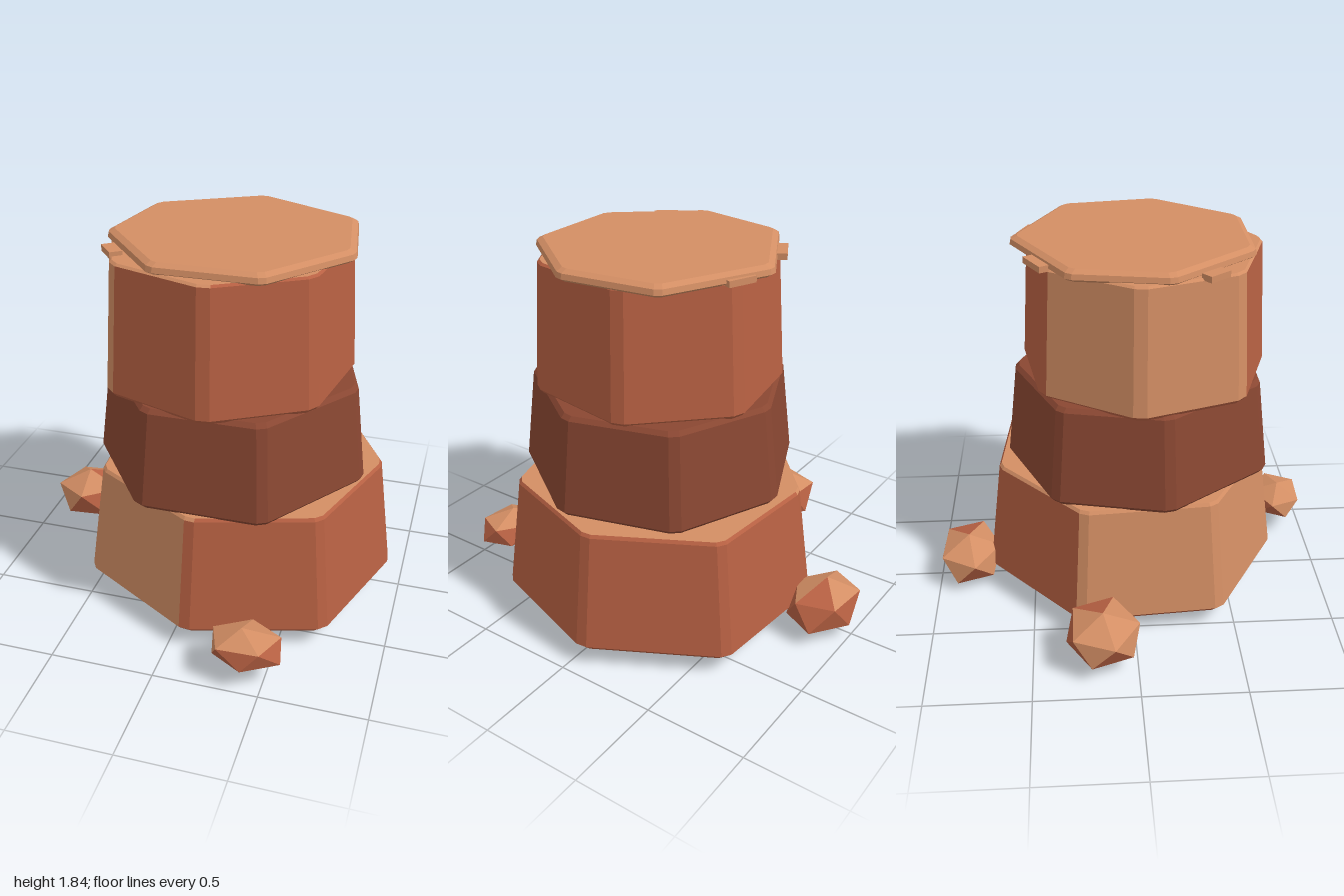
import * as THREE from 'three';

const flat = (name, color) => {
  const m = new THREE.MeshStandardMaterial({ color });
  m.name = name;
  return m;
};

export function createModel() {
  const model = new THREE.Group();
  model.name = 'mesaRock';
  const sand = flat('sand', 0xd38e64);
  const clay = flat('terracotta', 0xb86143);
  const dark = flat('darkClay', 0x8a4732);

  // Weathered side of every stone: triangles facing up or to -x take the second material
  const weather = new THREE.Vector3(-0.9, 0.9, 0.2);
  function addStone(name, tris, body, worn) {
    const lists = [[], []];
    const n = new THREE.Vector3();
    for (const t of tris) {
      new THREE.Triangle(...t).getNormal(n);
      lists[n.dot(weather) > 0.62 ? 1 : 0].push(...t);
    }
    const geo = new THREE.BufferGeometry().setFromPoints([...lists[0], ...lists[1]]);
    geo.addGroup(0, lists[0].length, 0);
    geo.addGroup(lists[0].length, lists[1].length, 1);
    geo.computeVertexNormals();
    const mesh = new THREE.Mesh(geo, body === worn ? body : [body, worn]);
    mesh.name = name;
    model.add(mesh);
  }

  // Cut each corner of an outline to give narrow chamfers
  function chamfer(outline, cut) {
    const pts = [];
    outline.forEach(([x, z], i) => {
      const p = new THREE.Vector2(x, z);
      for (const j of [i + outline.length - 1, i + 1]) {
        const q = new THREE.Vector2(...outline[j % outline.length]);
        pts.push(p.clone().lerp(q, cut / p.distanceTo(q)));
      }
    });
    return pts;
  }

  // Stack scaled copies of an outline; each ring is [y, scale]
  function addTier(name, outline, cut, rings, body, worn) {
    const pts = chamfer(outline, cut);
    const c = new THREE.Vector2();
    outline.forEach(([x, z]) => { c.x += x / outline.length; c.y += z / outline.length; });
    const loops = rings.map(([y, s]) => pts.map(p =>
      new THREE.Vector3(c.x + (p.x - c.x) * s, y, c.y + (p.y - c.y) * s)));
    const tris = [];
    const last = loops.length - 1;
    const low = new THREE.Vector3(c.x, rings[0][0], c.y);
    const high = new THREE.Vector3(c.x, rings[last][0], c.y);
    for (let i = 0; i < pts.length; i++) {
      const j = (i + 1) % pts.length;
      for (let k = 0; k < last; k++) {
        const [a, b, d, e] = [loops[k][i], loops[k][j], loops[k + 1][i], loops[k + 1][j]];
        tris.push([a, d, b], [b, d, e]);
      }
      tris.push([low, loops[0][i], loops[0][j]], [high, loops[last][j], loops[last][i]]);
    }
    addStone(name, tris, body, worn);
  }

  // Outlines run from +x towards +z
  const base = [[0.94, -0.06], [0.72, 0.59], [0.08, 0.78], [-0.52, 0.43], [-0.57, -0.27], [-0.06, -0.73], [0.61, -0.67]];
  const middle = [[0.8, 0.15], [0.43, 0.68], [-0.17, 0.68], [-0.54, 0.17], [-0.42, -0.38], [0.13, -0.62], [0.64, -0.4]];
  const upper = [[0.6, 0.43], [0.15, 0.69], [-0.35, 0.52], [-0.52, 0.02], [-0.24, -0.43], [0.3, -0.52], [0.69, -0.12]];
  const cap = [[0.7, 0.17], [0.38, 0.58], [-0.12, 0.58], [-0.46, 0.17], [-0.38, -0.29], [0.12, -0.56], [0.63, -0.31]];

  addTier('baseTier', base, 0.03, [[0.08, 0.96], [0.11, 1], [0.67, 0.905], [0.685, 0.89]], clay, sand);
  addTier('middleTier', middle, 0.03, [[0.68, 0.965], [0.705, 1], [1.155, 0.92], [1.175, 0.89]], dark, dark);
  addTier('upperTier', upper, 0.035, [[1.165, 0.97], [1.185, 1], [1.785, 0.94], [1.795, 0.92]], clay, sand);
  addTier('capSlab', cap, 0.02, [[1.785, 0.96], [1.8, 1], [1.825, 0.99], [1.84, 0.94]], sand, sand);

  // Broken chips along the back edge of the cap
  for (const [x, z, w, turn] of [[-0.17, -0.42, 0.16, 0.5], [0.27, -0.47, 0.14, -0.4], [-0.36, 0.36, 0.12, -0.9]]) {
    const chip = new THREE.Mesh(new THREE.BoxGeometry(w, 0.03, 0.06), sand);
    chip.name = 'rimChip';
    chip.position.set(x, 1.8, z);
    chip.rotation.y = turn;
    model.add(chip);
  }

  // Loose faceted boulders fitted to [min, max] extents
  function addBoulder(name, spin, min, max) {
    const geo = new THREE.IcosahedronGeometry(1, 0);
    geo.rotateZ(Math.atan(2 / (1 + Math.sqrt(5)))).rotateY(spin).rotateZ(0.12);
    geo.computeBoundingBox();
    const { min: lo, max: hi } = geo.boundingBox;
    const p = geo.attributes.position;
    const v = [];
    for (let i = 0; i < p.count; i++) {
      const f = (axis, k) => THREE.MathUtils.mapLinear(p['get' + axis.toUpperCase()](i), lo[axis], hi[axis], min[k], max[k]);
      v.push(new THREE.Vector3(f('x', 0), f('y', 1), f('z', 2)));
    }
    const tris = [];
    for (let i = 0; i < v.length; i += 3) tris.push(v.slice(i, i + 3));
    addStone(name, tris, clay, sand);
  }
  addBoulder('rightBoulder', 0.3, [-0.93, 0.03, -0.34], [-0.54, 0.3, 0.01]);
  addBoulder('frontBoulder', 0.9, [0.24, 0.07, 0.73], [0.58, 0.26, 1]);
  addBoulder('backBoulder', 1.5, [-0.21, 0, -1], [0.22, 0.26, -0.68]);

  return model;
}
